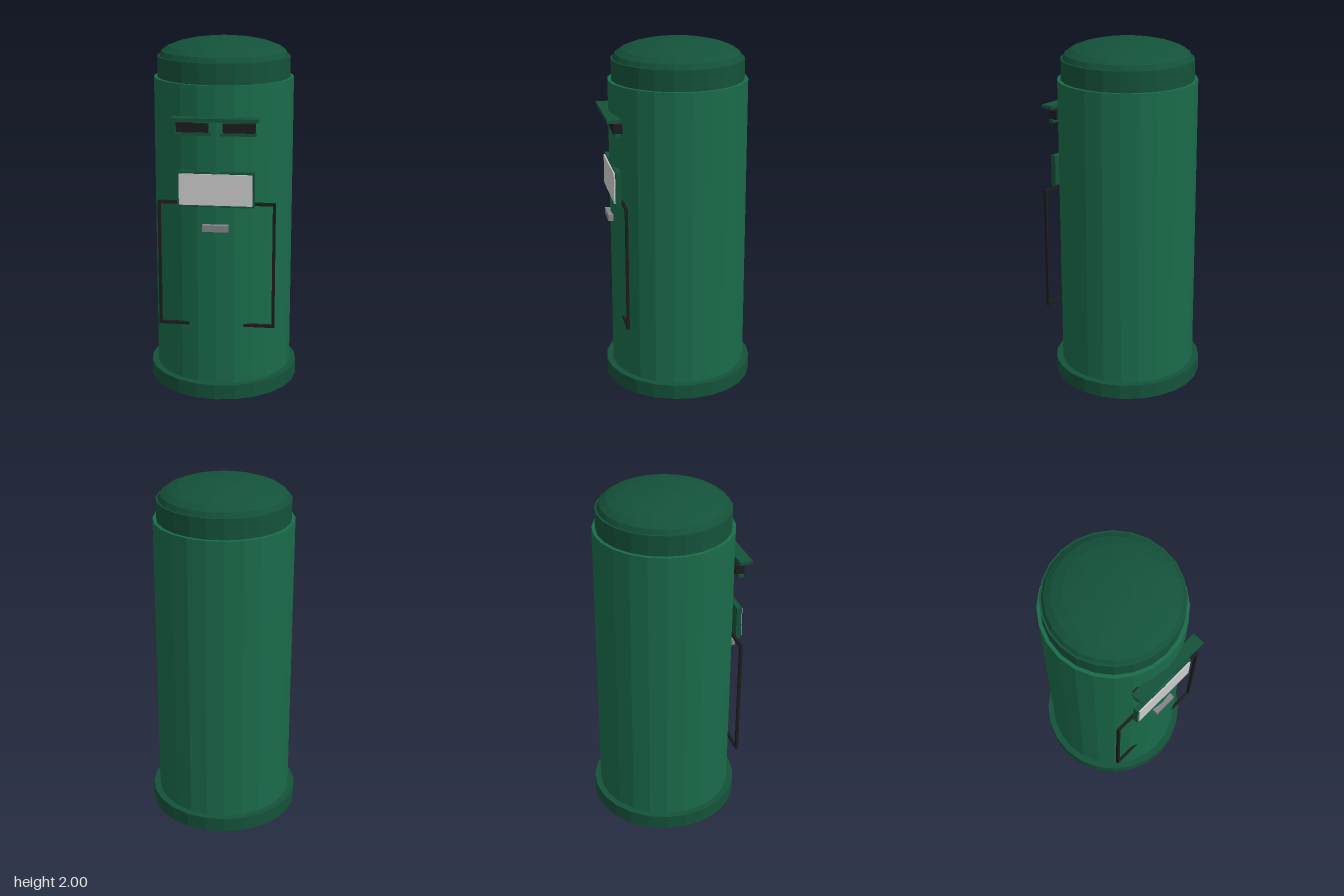
import * as THREE from 'three';

const mat = (color) => new THREE.MeshStandardMaterial({ color, flatShading: true });

export function createModel() {
  const group = new THREE.Group();
  const green = mat(0x1a6b4a);
  const darkGreen = mat(0x14523a);
  const black = mat(0x1c1c1e);
  const white = mat(0xcccccc);
  const steel = mat(0x85858a);

  const add = (name, geometry, material) => {
    const mesh = new THREE.Mesh(geometry, material);
    mesh.name = name;
    group.add(mesh);
    return mesh;
  };
  // Box given by its limits on each axis
  const box = (name, material, [x0, x1], [y0, y1], [z0, z1]) =>
    add(name, new THREE.BoxGeometry(x1 - x0, y1 - y0, z1 - z0), material)
      .position.set((x0 + x1) / 2, (y0 + y1) / 2, (z0 + z1) / 2);
  const drum = (name, material, radius, y0, y1) =>
    add(name, new THREE.CylinderGeometry(radius, radius, y1 - y0, 24), material)
      .position.set(0, (y0 + y1) / 2, 0);

  // Pillar: plinth, body, neck and domed cap
  drum('base', darkGreen, 0.43, 0, 0.085);
  drum('body', green, 0.393, 0.085, 1.78);
  drum('neck', darkGreen, 0.373, 1.78, 1.895);
  const dome = [];
  for (let i = 0; i <= 6; i++) {
    const a = (i / 6) * Math.PI / 2;
    dome.push(new THREE.Vector2(0.363 * Math.cos(a), 1.895 + 0.105 * Math.sin(a)));
  }
  dome[6].x = 0;
  add('dome', new THREE.LatheGeometry(dome, 24), darkGreen);

  // Hood over the two posting slots
  box('hood', darkGreen, [-0.233, 0.233], [1.593, 1.612], [0.36, 0.432]);
  for (const s of [-1, 1]) {
    const x = s * 0.125;
    box('slot', black, [x - 0.087, x + 0.087], [1.53, 1.58], [0.346, 0.395]);
  }
  box('slotLip', darkGreen, [-0.22, 0.22], [1.512, 1.528], [0.36, 0.39]);

  // Notice plate in its frame, and the lock plate
  box('noticeFrame', darkGreen, [-0.212, 0.212], [1.118, 1.315], [0.36, 0.39]);
  box('noticePlate', white, [-0.2, 0.2], [1.13, 1.303], [0.375, 0.398]);
  box('lockPlate', steel, [-0.07, 0.07], [0.985, 1.022], [0.385, 0.415]);

  // Door outline of thin bars
  for (const y of [0.427, 1.132]) {
    box('doorBar', black, [-0.325, 0.325], [y - 0.008, y + 0.008], [0.342, 0.358]);
  }
  for (const x of [-0.317, 0.317]) {
    box('doorUpright', black, [x - 0.008, x + 0.008], [0.419, 1.14], [0.342, 0.358]);
  }

  return group;
}
